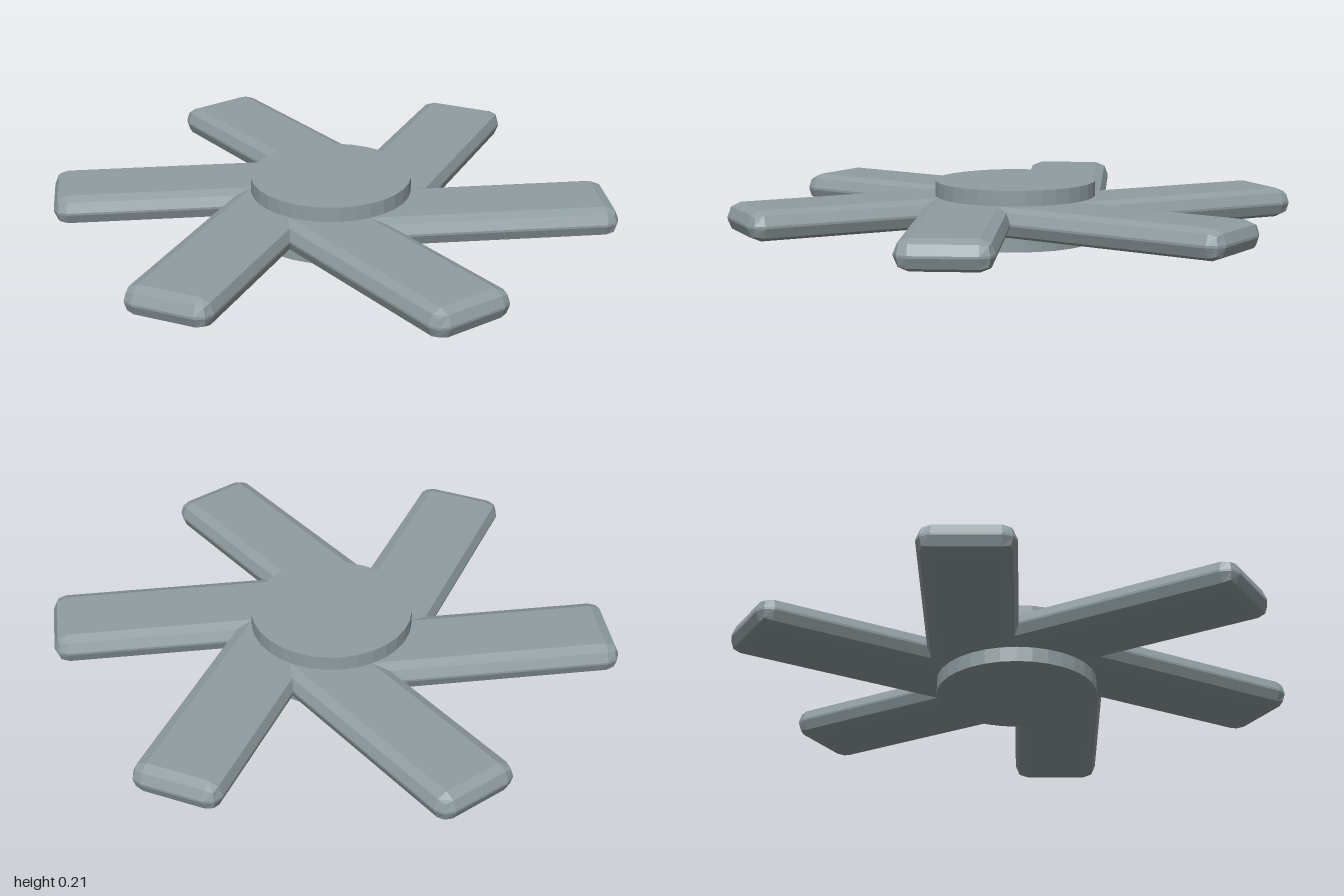
import * as THREE from 'three';
import { RoundedBoxGeometry } from 'three/addons/geometries/RoundedBoxGeometry.js';

const HUB_RADIUS = 0.28;
const HUB_HEIGHT = 0.21;
const BLADE_COUNT = 6;
const BLADE_START = 0.03; // inner end, hidden under the hub
const BLADE_TIP = 0.966;
const BLADE_WIDTH = 0.314;
const BLADE_OFFSET = 0.149; // sideways shift of the blade's centre line
const BLADE_THICKNESS = 0.104;

export function createModel() {
  const group = new THREE.Group();
  group.name = 'fan';
  const material = new THREE.MeshStandardMaterial({ color: 0x8f9ca0, flatShading: true });

  // Central disc
  const hub = new THREE.Mesh(
    new THREE.CylinderGeometry(HUB_RADIUS, HUB_RADIUS, HUB_HEIGHT, 32),
    material
  );
  hub.name = 'hub';
  hub.position.y = HUB_HEIGHT / 2;
  group.add(hub);

  // Bevelled blade, set to one side of its radius to give the pinwheel offset
  const bladeGeometry = new RoundedBoxGeometry(
    BLADE_TIP - BLADE_START, BLADE_THICKNESS, BLADE_WIDTH, 1, 0.048
  );
  bladeGeometry.translate((BLADE_START + BLADE_TIP) / 2, HUB_HEIGHT / 2, BLADE_OFFSET);

  for (let i = 0; i < BLADE_COUNT; i++) {
    const blade = new THREE.Mesh(bladeGeometry, material);
    blade.name = `blade${i + 1}`;
    blade.rotation.y = Math.PI / 12 + (i * 2 * Math.PI) / BLADE_COUNT;
    group.add(blade);
  }

  return group;
}
